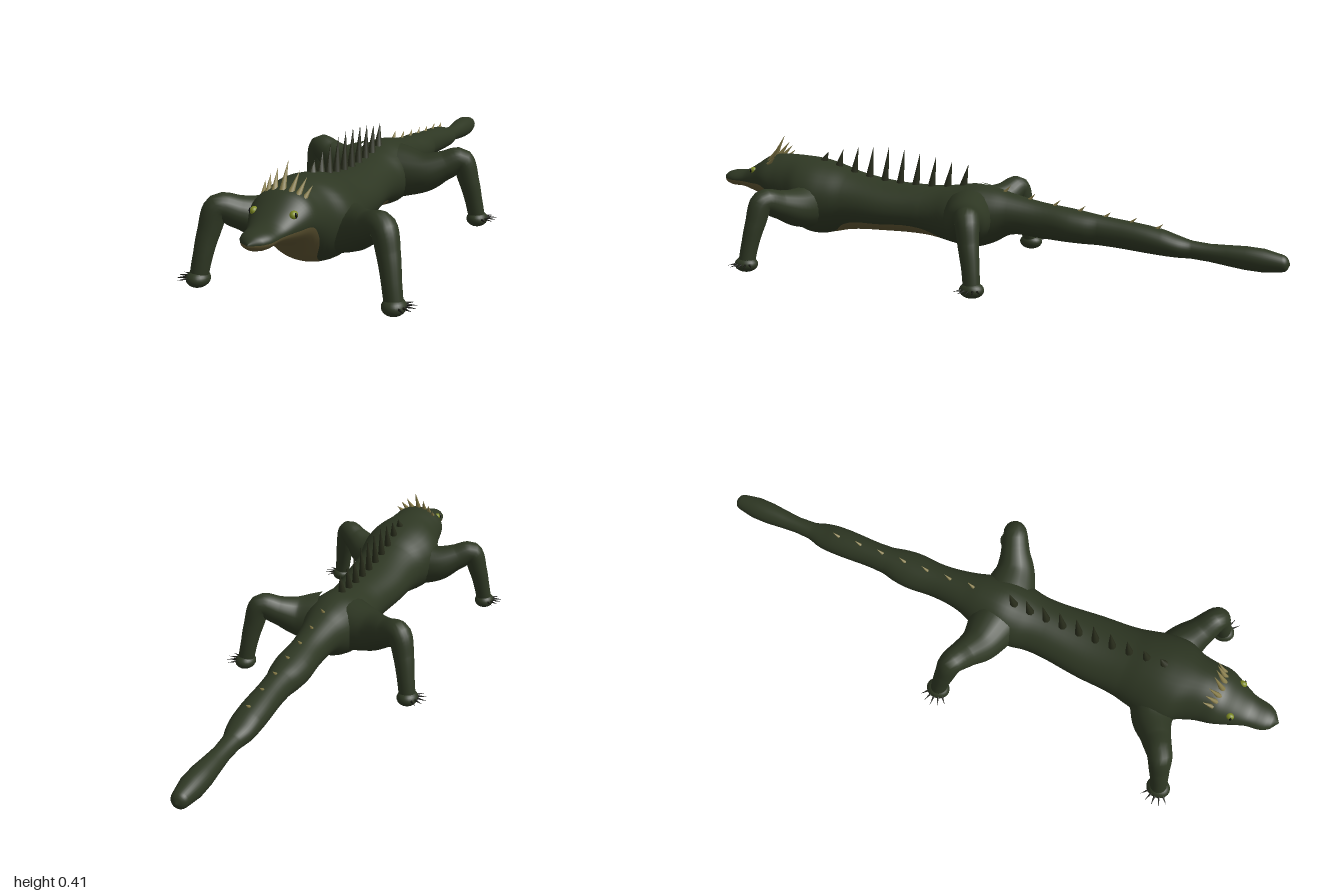
import * as THREE from 'three';

const mat = (name, color) => {
  const m = new THREE.MeshStandardMaterial({ color });
  m.name = name;
  return m;
};
const V = (x, y, z) => new THREE.Vector3(x, y, z);

// Body cross-sections: z, half width, top y, bottom y, half angle of pale underside (degrees)
const SECTIONS = [
  [-1.0, 0, 0.122, 0.12, 0], [-0.992, 0.018, 0.139, 0.103, 0], [-0.975, 0.028, 0.15, 0.095, 0],
  [-0.7, 0.03, 0.167, 0.11, 0], [-0.65, 0.044, 0.18, 0.11, 0], [-0.6, 0.049, 0.195, 0.112, 0],
  [-0.4, 0.047, 0.223, 0.125, 0], [-0.35, 0.058, 0.23, 0.125, 0], [-0.3, 0.063, 0.237, 0.126, 0],
  [-0.2, 0.057, 0.25, 0.13, 0], [-0.1, 0.07, 0.27, 0.133, 0], [-0.04, 0.09, 0.285, 0.1, 0],
  [0.03, 0.108, 0.293, 0.08, 0], [0.1, 0.107, 0.283, 0.09, 2], [0.15, 0.098, 0.277, 0.1, 40],
  [0.2, 0.097, 0.275, 0.107, 56], [0.35, 0.112, 0.28, 0.108, 58], [0.48, 0.12, 0.303, 0.1, 50],
  [0.54, 0.133, 0.322, 0.087, 20], [0.6, 0.145, 0.336, 0.076, 15], [0.65, 0.14, 0.342, 0.085, 19],
  [0.7, 0.115, 0.345, 0.11, 30], [0.75, 0.101, 0.345, 0.15, 60], [0.8, 0.095, 0.338, 0.185, 78],
  [0.85, 0.076, 0.308, 0.203, 82], [0.9, 0.055, 0.28, 0.218, 86], [0.975, 0.034, 0.268, 0.226, 88],
  [1.0, 0, 0.25, 0.244, 88],
];

const bodyCurve = new THREE.CubicInterpolant(
  SECTIONS.map((s) => s[0]), SECTIONS.flatMap((s) => s.slice(1)), 4);
const bodyAt = (z) => {
  const [w, top, bottom, deg] = bodyCurve.evaluate(z);
  return { w: Math.max(w, 0), top, bottom, angle: Math.max(deg, 0.5) * Math.PI / 180 };
};

// Lofted body, with a clean seam between the back and the underside
function bodyGeometry() {
  const under = 16, over = 32, ring = under + over, steps = 5;
  const zs = [];
  for (let i = 0; i < SECTIONS.length - 1; i++)
    for (let k = 0; k < steps; k++)
      zs.push(THREE.MathUtils.lerp(SECTIONS[i][0], SECTIONS[i + 1][0], k / steps));
  zs.push(1);
  const positions = [], pale = [], green = [];
  zs.forEach((z, i) => {
    const s = bodyAt(z), cy = (s.top + s.bottom) / 2, ry = (s.top - s.bottom) / 2;
    for (let j = 0; j < ring; j++) {
      const t = j < under
        ? -s.angle + 2 * s.angle * j / under
        : s.angle + (2 * Math.PI - 2 * s.angle) * (j - under) / over;
      positions.push(s.w * Math.sin(t), cy - ry * Math.cos(t), z);
      if (i === zs.length - 1) continue;
      const a = i * ring + j, b = i * ring + (j + 1) % ring;
      const isPale = j < under && z >= 0.1;
      (isPale ? pale : green).push(a, b, b + ring, a, b + ring, a + ring);
    }
  });
  const g = new THREE.BufferGeometry();
  g.setAttribute('position', new THREE.Float32BufferAttribute(positions, 3));
  g.setIndex([...green, ...pale]);
  g.addGroup(0, green.length, 0);
  g.addGroup(green.length, pale.length, 1);
  g.computeVertexNormals();
  return g;
}

// Tube whose radius follows a list of evenly spaced values
function taperedTube(points, radii) {
  const curve = new THREE.CatmullRomCurve3(points);
  const seg = 40, radial = 20;
  const g = new THREE.TubeGeometry(curve, seg, 1, radial, false);
  const pos = g.attributes.position, v = V(0, 0, 0);
  for (let i = 0; i <= seg; i++) {
    const c = curve.getPointAt(i / seg);
    const f = i / seg * (radii.length - 1), k = Math.min(Math.floor(f), radii.length - 2);
    const r = THREE.MathUtils.lerp(radii[k], radii[k + 1], f - k);
    for (let j = 0; j <= radial; j++) {
      const n = i * (radial + 1) + j;
      v.fromBufferAttribute(pos, n).sub(c).multiplyScalar(r).add(c);
      pos.setXYZ(n, v.x, v.y, v.z);
    }
  }
  return g;
}

export function createModel() {
  const model = new THREE.Group();
  model.name = 'lizard';
  const green = mat('dark green skin', 0x2e3723);
  const tan = mat('pale underside', 0x5f5532);
  const horn = mat('horn', 0x857a48);
  const spine = mat('dark spine', 0x282c1b);
  const claw = mat('claw', 0x191a14);
  const eye = mat('eye', 0x7d8a22);
  const pupil = mat('pupil', 0x0c0d0a);

  const add = (parent, name, geometry, material) => {
    const m = new THREE.Mesh(geometry, material);
    m.name = name;
    parent.add(m);
    return m;
  };
  const spike = (parent, name, base, tip, radius, material) => {
    const dir = tip.clone().sub(base);
    const m = add(parent, name, new THREE.ConeGeometry(radius, dir.length(), 8), material);
    m.position.copy(base).add(tip).multiplyScalar(0.5);
    m.quaternion.setFromUnitVectors(V(0, 1, 0), dir.normalize());
  };
  const ball = (parent, name, r, p, material) => {
    const m = add(parent, name, new THREE.SphereGeometry(1, 24, 16), material);
    m.scale.set(...r);
    m.position.set(...p);
  };
  const group = (name) => {
    const g = new THREE.Group();
    g.name = name;
    model.add(g);
    return g;
  };

  add(model, 'body', bodyGeometry(), [green, tan]);

  // Legs: sprawling upper limb, raised joint, shin, foot and fanned claws
  const leg = (name, side, z, dz) => {
    const g = group(name);
    const path = [
      [0.06, 0.195, 0], [0.14, 0.195, 0.15], [0.2, 0.215, 0.42], [0.25, 0.232, 0.65],
      [0.275, 0.16, 0.8], [0.289, 0.09, 0.92], [0.3, 0.025, 1],
    ].map(([x, y, f]) => V(side * x, y, z + dz * f));
    add(g, 'limb', taperedTube(path, [0.09, 0.07, 0.05, 0.04, 0.034, 0.029, 0.027]), green);
    const fz = z + dz;
    ball(g, 'foot', [0.035, 0.026, 0.04], [side * 0.3, 0.026, fz], green);
    for (let i = -2; i <= 2; i++) {
      const a = i * 0.42, c = Math.cos(a), s = Math.sin(a);
      spike(g, 'claw', V(side * (0.3 + 0.022 * c), 0.031, fz + 0.025 * s),
        V(side * (0.3 + 0.067 * c), 0.028, fz + 0.062 * s), 0.005, claw);
    }
  };
  for (const [label, side] of [['left', 1], ['right', -1]]) {
    leg(label + 'FrontLeg', side, 0.61, 0.13);
    leg(label + 'RearLeg', side, 0.03, -0.1);
    // Eyes
    const g = group(label + 'Eye');
    ball(g, 'eyeball', [0.011, 0.012, 0.014], [side * 0.058, 0.29, 0.846], eye);
    ball(g, 'pupil', [0.004, 0.008, 0.004], [side * 0.067, 0.291, 0.851], pupil);
  }

  // Row of tall spines along the back
  const back = group('backSpines');
  for (let i = 0; i < 10; i++) {
    const z = 0.595 - i * 0.058;
    const tip = 0.357 + 0.04 * Math.sin(Math.PI * Math.min(1, (i + 0.5) / 9));
    spike(back, 'backSpine', V(0, bodyAt(z).top - 0.005, z), V(0, tip, z - 0.018), 0.014, spine);
  }

  // Small spines down the tail
  const tail = group('tailSpines');
  for (let i = 0; i < 7; i++) {
    const z = -0.07 - i * 0.085, y = bodyAt(z).top;
    spike(tail, 'tailSpine', V(0, y - 0.008, z), V(0, y + 0.02 - i * 0.001, z - 0.025), 0.007, horn);
  }

  // Fan of horns behind the head
  const crest = group('headCrest');
  const fan = [[0, 0.335, 0, 0.412], [0.024, 0.33, 0.033, 0.384],
    [0.043, 0.322, 0.054, 0.368], [0.058, 0.31, 0.071, 0.347]];
  for (const [bx, by, tx, ty] of fan)
    for (const s of bx ? [1, -1] : [1])
      spike(crest, 'crestHorn', V(s * bx, by, 0.79), V(s * tx, ty, 0.748), 0.01, horn);

  return model;
}
